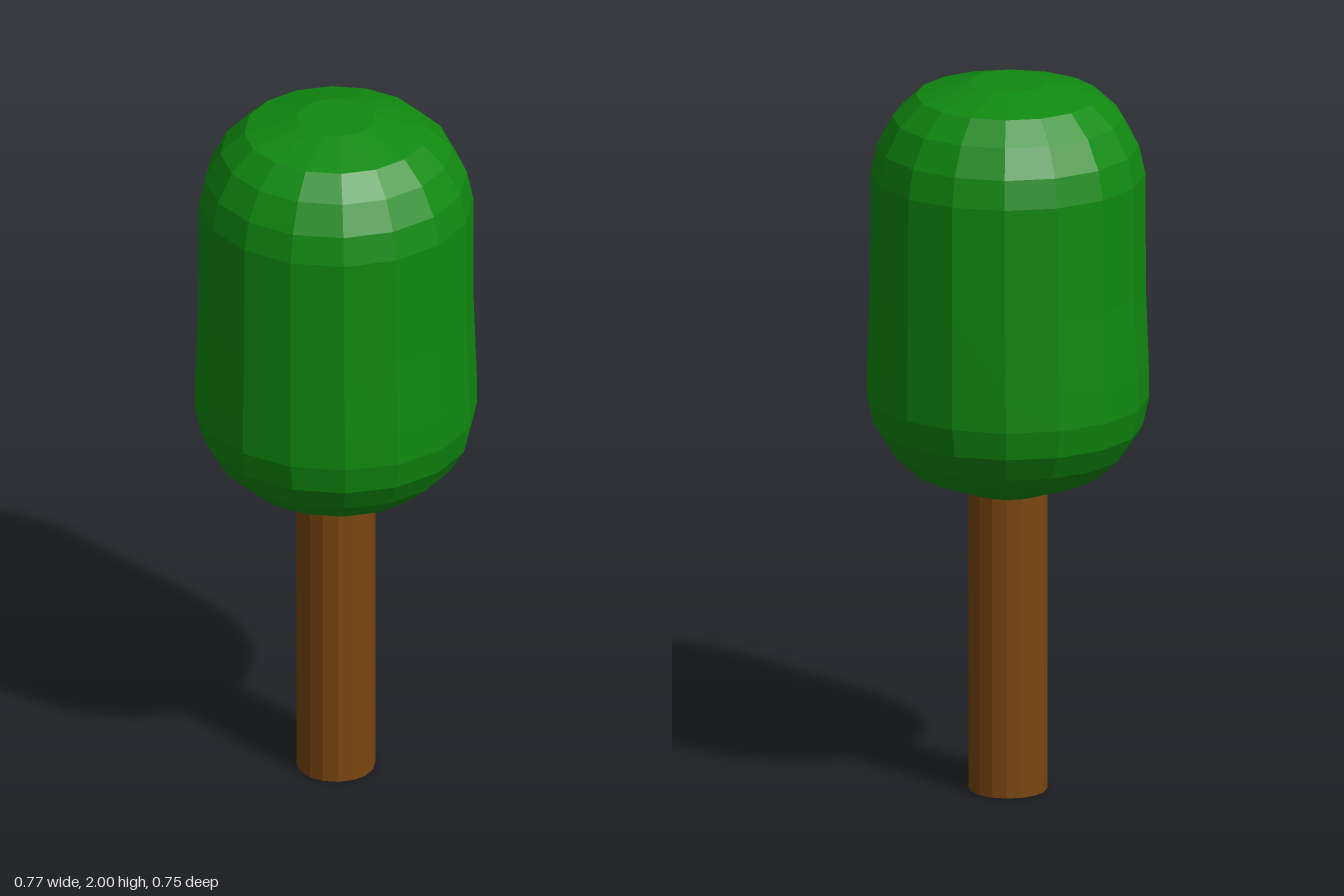
import * as THREE from 'three';

const SIDES = 16;

export function createModel() {
  const leafGreen = new THREE.MeshStandardMaterial({ name: 'leafGreen', color: 0x108a10, flatShading: true });
  const barkBrown = new THREE.MeshStandardMaterial({ name: 'barkBrown', color: 0x7a4610, flatShading: true });
  const tree = new THREE.Group();
  tree.name = 'tree';

  // Trunk: straight faceted post
  const trunk = new THREE.Mesh(new THREE.CylinderGeometry(0.107, 0.107, 0.86, SIDES), barkBrown);
  trunk.name = 'trunk';
  trunk.position.y = 0.43;
  tree.add(trunk);

  // Crown: capsule of stacked rings [radius, height]
  const profile = [
    [0, 0.845], [0.107, 0.845], [0.25, 0.9], [0.315, 0.96], [0.357, 1.03], [0.374, 1.11],
    [0.375, 1.2], [0.375, 1.42], [0.374, 1.74], [0.357, 1.82], [0.315, 1.9], [0.25, 1.961],
    [0.107, 2], [0, 2],
  ].map(([r, y]) => new THREE.Vector2(r, y));
  const crownGeometry = new THREE.LatheGeometry(profile, SIDES);

  // The lower crown bulges slightly sideways
  const pos = crownGeometry.attributes.position;
  for (let i = 0; i < pos.count; i++) {
    const bulge = 0.032 * (1 - THREE.MathUtils.smoothstep(pos.getY(i), 1.1, 1.45));
    if (pos.getY(i) > 0.85) pos.setX(i, pos.getX(i) * (1 + bulge));
  }
  crownGeometry.computeVertexNormals();

  const crown = new THREE.Mesh(crownGeometry, leafGreen);
  crown.name = 'crown';
  tree.add(crown);

  return tree;
}
